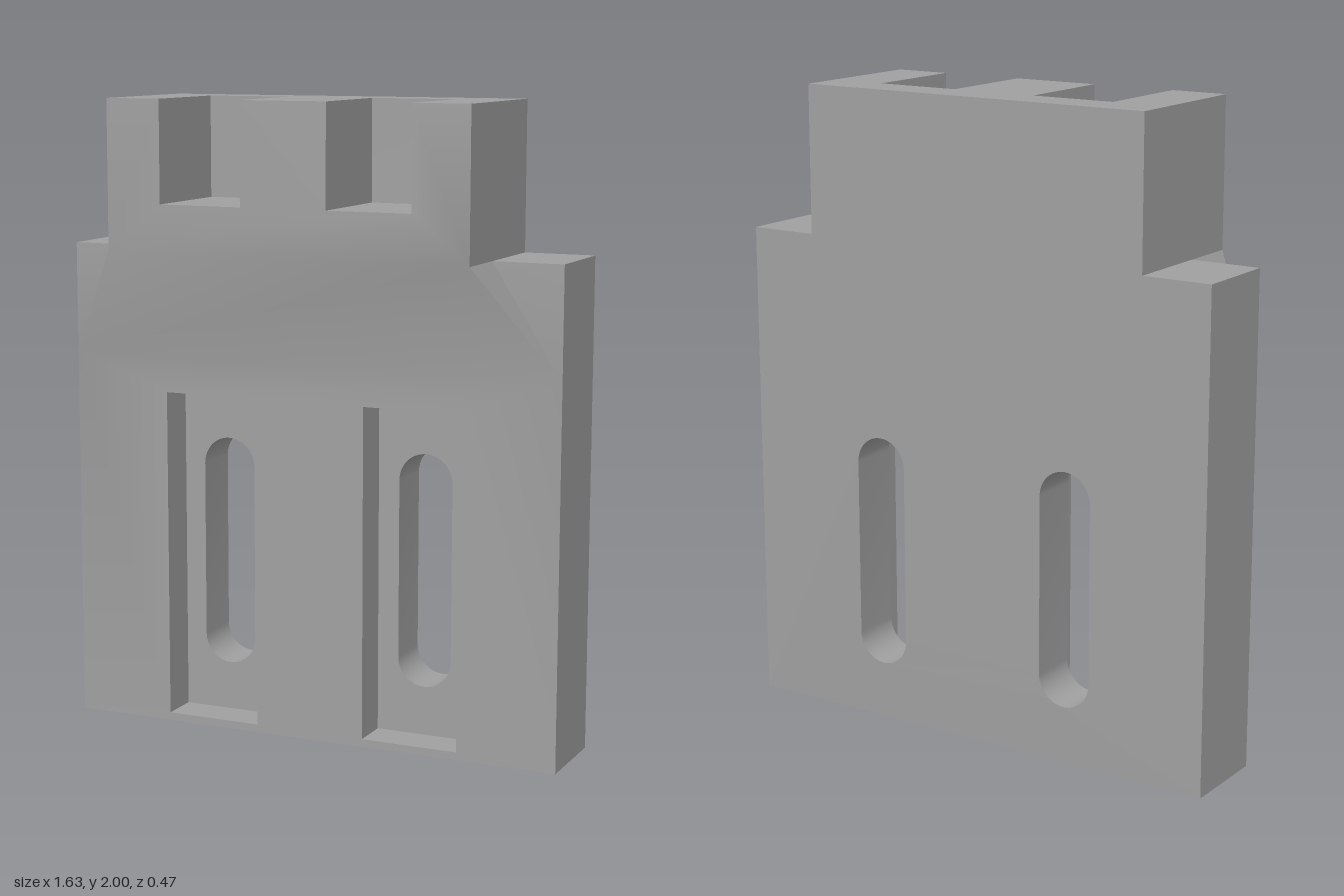
import * as THREE from 'three';
import { mergeGeometries, toCreasedNormals } from 'three/addons/utils/BufferGeometryUtils.js';

const BACK = -0.235, PLATE_FRONT = 0.05, HEAD_FRONT = 0.235;
const POCKET_FLOOR = -0.075, NOTCH_BACK = -0.105;
const HALF_W = 0.815, HEAD_W = 0.592;       // half widths of plate and head
const BEND = 1.19, SHOULDER = 1.537, TOP = 2;
const SLOT_X = 0.338;
const CREASE = Math.PI / 6;

const rectPoints = (x0, y0, x1, y1) =>
  [[x0, y0], [x1, y0], [x1, y1], [x0, y1]].map(p => new THREE.Vector2(...p));

// Extrude an outline with holes between two depths
function slab(points, z0, z1, holes = []) {
  const shape = new THREE.Shape(points);
  shape.holes.push(...holes);
  const geo = new THREE.ExtrudeGeometry(shape, { depth: z1 - z0, bevelEnabled: false, curveSegments: 12 });
  geo.translate(0, 0, z0);
  geo.deleteAttribute('uv');
  return geo;
}

// Round-ended through slot
function slotPath(cx) {
  const r = 0.088, path = new THREE.Path();
  path.absarc(cx, 0.92 - r, r, 0, Math.PI);
  path.absarc(cx, 0.18 + r, r, Math.PI, Math.PI * 2);
  path.closePath();
  return path;
}

// Sloped transition from the wide plate to the thicker head
function rampGeometry() {
  const v = [
    [-HALF_W, BEND, PLATE_FRONT], [HALF_W, BEND, PLATE_FRONT],
    [HEAD_W, SHOULDER, PLATE_FRONT], [-HEAD_W, SHOULDER, PLATE_FRONT],
    [HEAD_W, SHOULDER, HEAD_FRONT], [-HEAD_W, SHOULDER, HEAD_FRONT]
  ];
  const faces = [0, 1, 4, 0, 4, 5, 1, 2, 4, 0, 5, 3];
  const geo = new THREE.BufferGeometry();
  geo.setAttribute('position', new THREE.Float32BufferAttribute(faces.flatMap(i => v[i]), 3));
  geo.computeVertexNormals();
  return geo;
}

export function createModel() {
  const group = new THREE.Group();
  group.name = 'slottedBracket';
  const grey = new THREE.MeshStandardMaterial({ color: 0xa0a0a0 });
  grey.name = 'grey';

  const add = (name, geo) => {
    const mesh = new THREE.Mesh(toCreasedNormals(geo, CREASE), grey);
    mesh.name = name;
    group.add(mesh);
  };

  // Rear half of the plate, pierced by the two slots
  add('backPlate', slab(rectPoints(-HALF_W, 0, HALF_W, SHOULDER), BACK, POCKET_FLOOR,
    [-SLOT_X, SLOT_X].map(slotPath)));

  // Rear wall of the head
  add('headBack', slab(rectPoints(-HEAD_W, SHOULDER, HEAD_W, TOP), BACK, NOTCH_BACK));

  // Front half of the plate with a rectangular pocket around each slot
  const pockets = [-SLOT_X, SLOT_X].map(x =>
    new THREE.Path(rectPoints(x - 0.157, 0.025, x + 0.157, 1.075)));
  const face = slab(rectPoints(-HALF_W, 0, HALF_W, BEND), POCKET_FLOOR, PLATE_FRONT, pockets);
  const shoulder = slab(rectPoints(-HALF_W, BEND, HALF_W, SHOULDER), POCKET_FLOOR, PLATE_FRONT);

  // Front of the head with two open notches
  const outline = [
    [-HEAD_W, SHOULDER], [HEAD_W, SHOULDER], [HEAD_W, TOP],
    [0.412, TOP], [0.412, 1.683], [0.14, 1.683], [0.14, TOP],
    [-0.14, TOP], [-0.14, 1.683], [-0.412, 1.683], [-0.412, TOP], [-HEAD_W, TOP]
  ].map(p => new THREE.Vector2(...p));
  const headFront = slab(outline, NOTCH_BACK, HEAD_FRONT);

  // One shell, so the shading flows softly over the ramp
  add('frontShell', mergeGeometries([face, shoulder, rampGeometry(), headFront]));

  return group;
}
